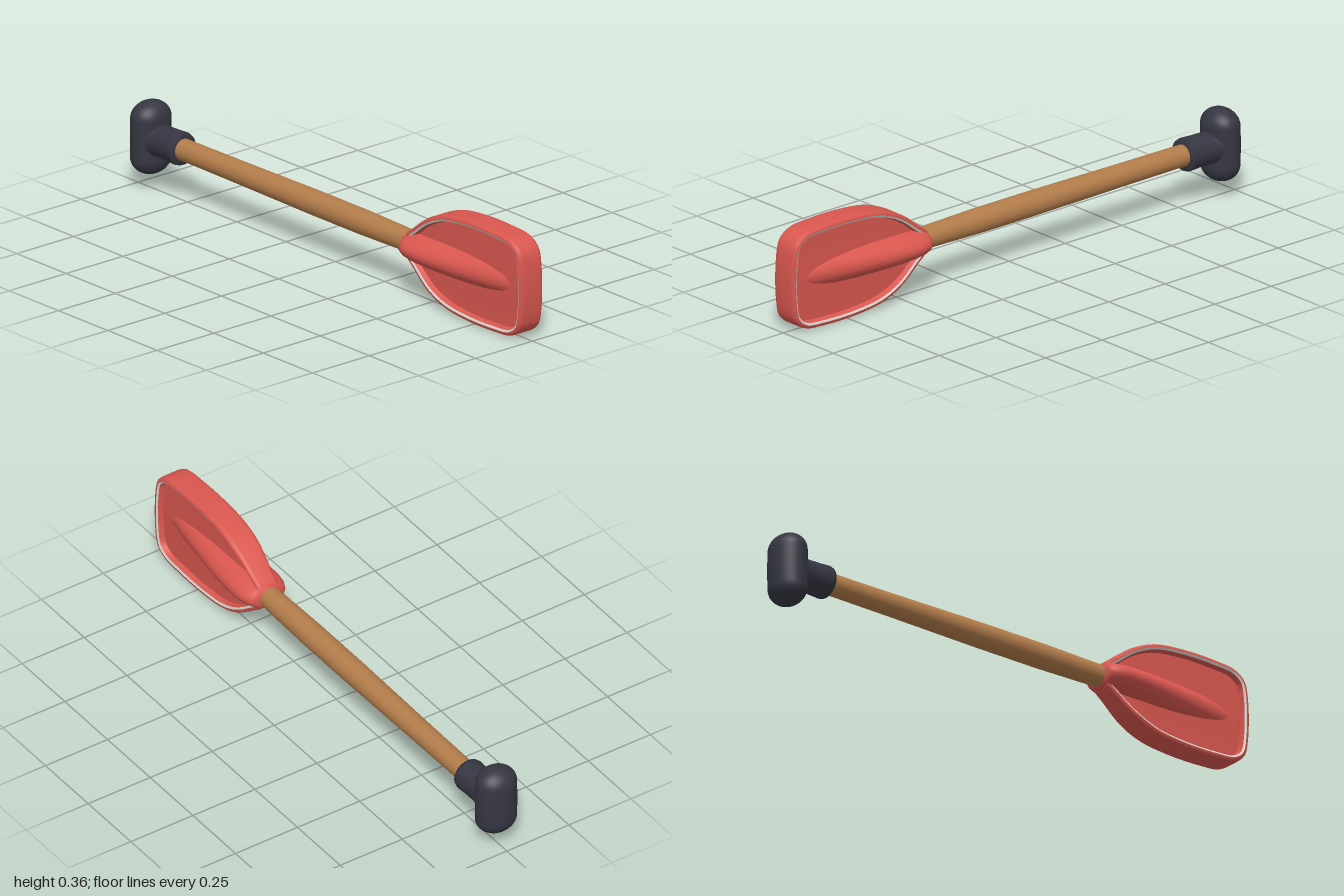
import * as THREE from 'three';

const Y = 0.182; // height of the long axis

const mat = (name, color) => {
  const m = new THREE.MeshStandardMaterial({ color });
  m.name = name;
  return m;
};

// Skin a list of closed rings (arrays of Vector3 with equal length)
function loft(rings) {
  const n = rings[0].length, pos = [], idx = [];
  rings.forEach(r => r.forEach(p => pos.push(p.x, p.y, p.z)));
  for (let i = 0; i < rings.length - 1; i++) {
    for (let j = 0; j < n; j++) {
      const a = i * n + j, b = i * n + (j + 1) % n, c = a + n, d = b + n;
      idx.push(a, c, b, b, c, d);
    }
  }
  const g = new THREE.BufferGeometry();
  g.setAttribute('position', new THREE.Float32BufferAttribute(pos, 3));
  g.setIndex(idx);
  g.computeVertexNormals();
  return g;
}

// Turned part along z from [z, radius] pairs
function turned(profile) {
  const pts = profile.map(([z, r]) => new THREE.Vector2(r, z));
  return new THREE.LatheGeometry(pts, 32).rotateX(Math.PI / 2).translate(0, Y, 0);
}

export function createModel() {
  const group = new THREE.Group();
  const red = mat('red blade', 0xd9574f);
  const pale = mat('pale trim', 0xd6d4ce);
  const wood = mat('wood', 0xb27c4a);
  const dark = mat('dark rubber', 0x363643);
  const add = (name, geometry, material) => {
    const mesh = new THREE.Mesh(geometry, material);
    mesh.name = name;
    group.add(mesh);
  };

  // Blade outline: upper half as [z, height above axis], mirrored below
  const half = [[0.395, 0.035], [0.44, 0.075], [0.51, 0.125], [0.6, 0.162], [0.72, 0.177],
    [0.85, 0.177], [0.94, 0.167], [0.982, 0.135], [0.997, 0.07]];
  const pts = [...half, ...half.slice().reverse().map(([z, y]) => [z, -y])]
    .map(([z, y]) => new THREE.Vector3(0, Y + y * 1.01, z));
  const curve = new THREE.CatmullRomCurve3(pts, true, 'centripetal');
  const N = 112;
  const outline = curve.getSpacedPoints(N).slice(0, N);
  const inward = outline.map((p, j) => {
    const t = outline[(j + 1) % N].clone().sub(outline[(j + N - 1) % N]).normalize();
    return new THREE.Vector3(0, -t.z, t.y);
  });
  const ring = (inset, x) => outline.map((p, j) => {
    const q = p.clone().addScaledVector(inward[j], inset);
    q.x = x * (0.8 + 0.2 * THREE.MathUtils.smoothstep(p.z, 0.4, 0.55));
    return q;
  });
  // Ring squeezed towards the centre line, for the panel
  const squeezed = (k, x) => ring(0.026, x).map(p => {
    p.y = Y + (p.y - Y) * k;
    return p;
  });

  // Thick rounded rim band
  const band = [[0.014, 0.049], [0.007, 0.0485], [0.002, 0.043], [0, 0.032], [0, 0]];
  const fullBand = [...band, ...band.slice(0, -1).reverse().map(([i, x]) => [i, -x])];
  add('bladeRim', loft(fullBand.map(([i, x]) => ring(i, x))), red);

  // Trim line, inner wall and recessed panel on each face
  for (const s of [1, -1]) {
    const order = rings => (s > 0 ? rings : rings.reverse());
    const side = s > 0 ? 'left' : 'right';
    add(side + 'Trim', loft(order([ring(0.021, 0.045 * s), ring(0.014, 0.049 * s)])), pale);
    add(side + 'InnerWall', loft(order([ring(0.026, 0.026 * s), ring(0.021, 0.045 * s)])), red);
    add(side + 'Panel', loft(order([squeezed(0, 0.028 * s), squeezed(0.5, 0.026 * s),
      squeezed(1, 0.026 * s)])), red);
  }

  // Raised spine: [z, half width in x, half height in y], fading into the panel
  const spine = [[0.388, 0.03, 0.03], [0.389, 0.056, 0.042], [0.4, 0.07, 0.046], [0.425, 0.082, 0.05],
    [0.46, 0.088, 0.054], [0.52, 0.087, 0.058], [0.6, 0.08, 0.06], [0.7, 0.066, 0.06],
    [0.8, 0.05, 0.056], [0.88, 0.036, 0.048], [0.95, 0.022, 0.035]];
  add('bladeSpine', loft(spine.map(([z, w, h]) => Array.from({ length: 40 }, (_, j) => {
    const a = j / 40 * Math.PI * 2, c = Math.cos(a);
    return new THREE.Vector3(Math.sign(c) * w * Math.abs(c) ** 1.3, Y - h * Math.sin(a), z);
  }))), red);

  // Slightly swollen wooden shaft
  add('shaft', turned([[-0.85, 0.037], [-0.5, 0.039], [-0.1, 0.043], [0.15, 0.043],
    [0.42, 0.038]]), wood);

  // Rubber collar flaring into the cross grip
  add('collar', turned([[-0.95, 0.06], [-0.915, 0.066], [-0.895, 0.06], [-0.87, 0.055],
    [-0.82, 0.056], [-0.782, 0.058], [-0.771, 0.055], [-0.77, 0.034]]), dark);
  const grip = new THREE.CapsuleGeometry(0.06, 0.138, 12, 32, 6);
  const p = grip.attributes.position;
  for (let i = 0; i < p.count; i++) {
    // The back bows out a little at mid height
    const y = p.getY(i), z = p.getZ(i);
    const bow = z < 0 ? 1 + 0.08 * Math.cos(y / 0.129 * Math.PI / 2) : 1;
    p.setXYZ(i, p.getX(i) * 1.24, y, z * bow);
  }
  grip.computeVertexNormals();
  add('grip', grip.translate(0, Y, -0.935), dark);

  return group;
}
